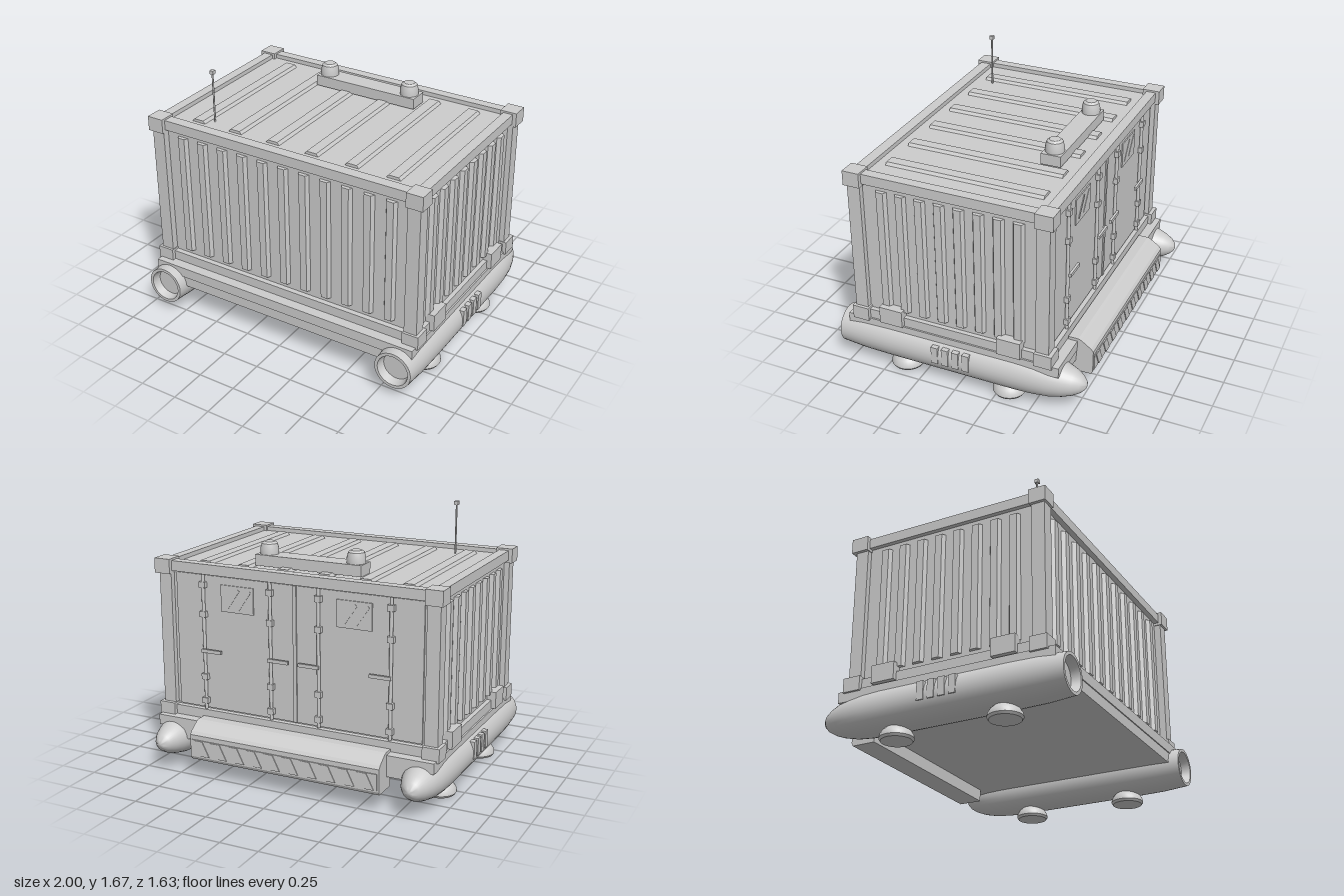
import * as THREE from 'three';
import { toCreasedNormals } from 'three/addons/utils/BufferGeometryUtils.js';

const grey = new THREE.MeshStandardMaterial({ color: 0xcccccc });
grey.name = 'light grey';

export function createModel() {
  const model = new THREE.Group();
  model.name = 'containerModule';

  const add = (name, geo, x = 0, y = 0, z = 0, parent = model) => {
    const m = new THREE.Mesh(geo, grey);
    m.name = name;
    m.position.set(x, y, z);
    parent.add(m);
    return m;
  };
  // Box given by its limits on each axis
  const box = (name, x0, x1, y0, y1, z0, z1, parent) =>
    add(name, new THREE.BoxGeometry(x1 - x0, y1 - y0, z1 - z0),
      (x0 + x1) / 2, (y0 + y1) / 2, (z0 + z1) / 2, parent);
  // Turned part from [radius, height] pairs, with sharp edges kept
  const lathe = (pts, sides = 28) => toCreasedNormals(
    new THREE.LatheGeometry(pts.map(p => new THREE.Vector2(p[0], p[1])), sides), 0.6);
  // Prism from an outline in x, y, centred along z
  const prism = (pts, length) => new THREE.ExtrudeGeometry(
    new THREE.Shape(pts.map(p => new THREE.Vector2(p[0], p[1]))),
    { depth: length, bevelEnabled: false }).translate(0, 0, -length / 2);
  // Pressed corrugation rib, rising in +y and running along z
  const rib = (w, d, length) => prism(
    [[-w / 2, 0], [w / 2, 0], [w / 2 - 0.014, d], [-w / 2 + 0.014, d]], length);

  // Container shell
  box('containerBody', -0.915, 0.915, 0.34, 1.325, -0.57, 0.655);

  // Corner posts and castings
  for (const s of [-1, 1]) {
    const [a, b] = s < 0 ? [-0.95, -0.865] : [0.865, 0.95];
    const [c, d] = s < 0 ? [-0.97, -0.86] : [0.86, 0.97];
    for (const [p0, p1, c0, c1] of [[0.615, 0.7, 0.605, 0.715], [-0.605, -0.52, -0.63, -0.515]]) {
      box('cornerPost', a, b, 0.4, 1.29, p0, p1);
      box('topCasting', c, d, 1.27, 1.365, c0, c1);
      box('bottomCasting', c, d, 0.325, 0.415, c0, c1);
    }
  }

  // Top and bottom rails
  for (const [y0, y1] of [[1.288, 1.353], [0.335, 0.4]]) {
    box('frontRail', -0.87, 0.87, y0, y1, 0.62, 0.69);
    box('rearRail', -0.87, 0.87, y0, y1, -0.605, -0.54);
    for (const s of [-1, 1]) add('sideRail', new THREE.BoxGeometry(0.065, y1 - y0, 1.14), s * 0.912, (y0 + y1) / 2, 0.045);
  }

  // Corrugated front, sides and roof
  const wallRib = rib(0.074, 0.024, 0.815).rotateX(Math.PI / 2);
  for (let i = 0; i < 11; i++) add('frontRib', wallRib, -0.748 + i * 0.149, 0.843, 0.655);
  for (let i = 0; i < 8; i++) for (const s of [-1, 1])
    add('sideRib', wallRib, s * 0.915, 0.843, 0.49 - i * 0.127).rotation.y = s * Math.PI / 2;
  const roofRib = rib(0.095, 0.018, 1.03);
  for (let i = 0; i < 6; i++) add('roofRib', roofRib, -0.698 + i * 0.278, 1.325, 0.04);

  // Rear doors
  const rod = new THREE.CylinderGeometry(0.011, 0.011, 0.88, 10);
  for (const s of [-1, 1]) {
    const door = new THREE.Group();
    door.name = s > 0 ? 'leftDoor' : 'rightDoor';
    model.add(door);
    add('doorPanel', new THREE.BoxGeometry(0.83, 0.87, 0.012), s * 0.427, 0.844, -0.574, door);
    add('window', new THREE.BoxGeometry(0.23, 0.17, 0.009), s * 0.4, 1.145, -0.583, door);
    for (const dx of [-0.05, 0.03]) {
      add('windowGlint', new THREE.BoxGeometry(0.018, 0.15, 0.004), s * 0.4 + dx, 1.145, -0.588, door).rotation.z = 0.6;
    }
    for (const [x, dir] of [[0.64, -1], [0.165, -1]]) {
      add('lockRod', rod, s * x, 0.845, -0.592, door);
      for (const y of [0.46, 0.62, 1.03, 1.22])
        add('rodBracket', new THREE.BoxGeometry(0.042, 0.038, 0.034), s * x, y, -0.591, door);
      add('handle', new THREE.BoxGeometry(0.14, 0.022, 0.016), s * (x + dir * 0.06), 0.795, -0.61, door);
    }
  }
  box('doorSeam', -0.012, 0.012, 0.41, 1.28, -0.588, -0.57);

  // Chassis and deck
  box('chassis', -0.8, 0.8, 0.2, 0.33, -0.665, 0.75);
  box('deck', -0.955, 0.955, 0.27, 0.338, -0.67, 0.757);

  // Side pods with open front nozzles and rounded tails
  const pod = lathe([[0, -0.82], [0.025, -0.812], [0.055, -0.785], [0.082, -0.74], [0.105, -0.68],
    [0.124, -0.6], [0.134, -0.5], [0.138, -0.38], [0.138, 0.45], [0.135, 0.65], [0.123, 0.815],
    [0.103, 0.815], [0.09, 0.76], [0, 0.76]], 32).rotateX(Math.PI / 2);
  const foot = lathe([[0, 0], [0.095, 0], [0.105, 0.015], [0.102, 0.035], [0.088, 0.058], [0.06, 0.085], [0, 0.09]]);
  for (const s of [-1, 1]) {
    const side = new THREE.Group();
    side.name = s > 0 ? 'leftPod' : 'rightPod';
    model.add(side);
    add('podBody', pod, s * 0.858, 0.195, 0, side);
    for (const z of [0.4, -0.31]) add('foot', foot, s * 0.858, 0, z, side);
    for (let i = 0; i < 4; i++)
      add('vent', new THREE.BoxGeometry(0.05, 0.115, 0.044), s * 0.975, 0.22, 0.135 - i * 0.07, side);
    for (const z of [0.443, -0.352])
      add('clampBlock', new THREE.BoxGeometry(0.06, 0.112, 0.155), s * 0.945, 0.4, z, side);
  }

  // Rear step, its outline drawn in (-z, y)
  const step = prism([[0.61, 0.12], [0.765, 0.12], [0.775, 0.14], [0.775, 0.285], [0.76, 0.305],
    [0.695, 0.35], [0.675, 0.357], [0.61, 0.357]], 1.305).rotateY(Math.PI / 2);
  add('rearStep', step);
  // Striped warning band on the step
  box('warningBand', -0.64, 0.64, 0.15, 0.255, -0.781, -0.773);
  for (let i = 0; i < 10; i++) {
    const stripe = prism([[-0.055, -0.05], [0.005, -0.05], [0.055, 0.05], [-0.005, 0.05]], 0.006);
    add('warningStripe', stripe, -0.567 + i * 0.126, 0.2025, -0.783);
  }

  // Roof beacon bar
  box('beaconBar', -0.365, 0.36, 1.335, 1.405, -0.42, -0.29);
  const beacon = lathe([[0, 0], [0.059, 0], [0.059, 0.035], [0.05, 0.068], [0.035, 0.08], [0, 0.082]], 20);
  for (const x of [-0.303, 0.293]) add('beacon', beacon, x, 1.404, -0.355);

  // Antenna
  add('antennaMast', new THREE.CylinderGeometry(0.006, 0.006, 0.33, 8), -0.62, 1.49, 0.49);
  add('antennaTip', new THREE.BoxGeometry(0.026, 0.024, 0.026), -0.62, 1.66, 0.49);

  return model;
}
